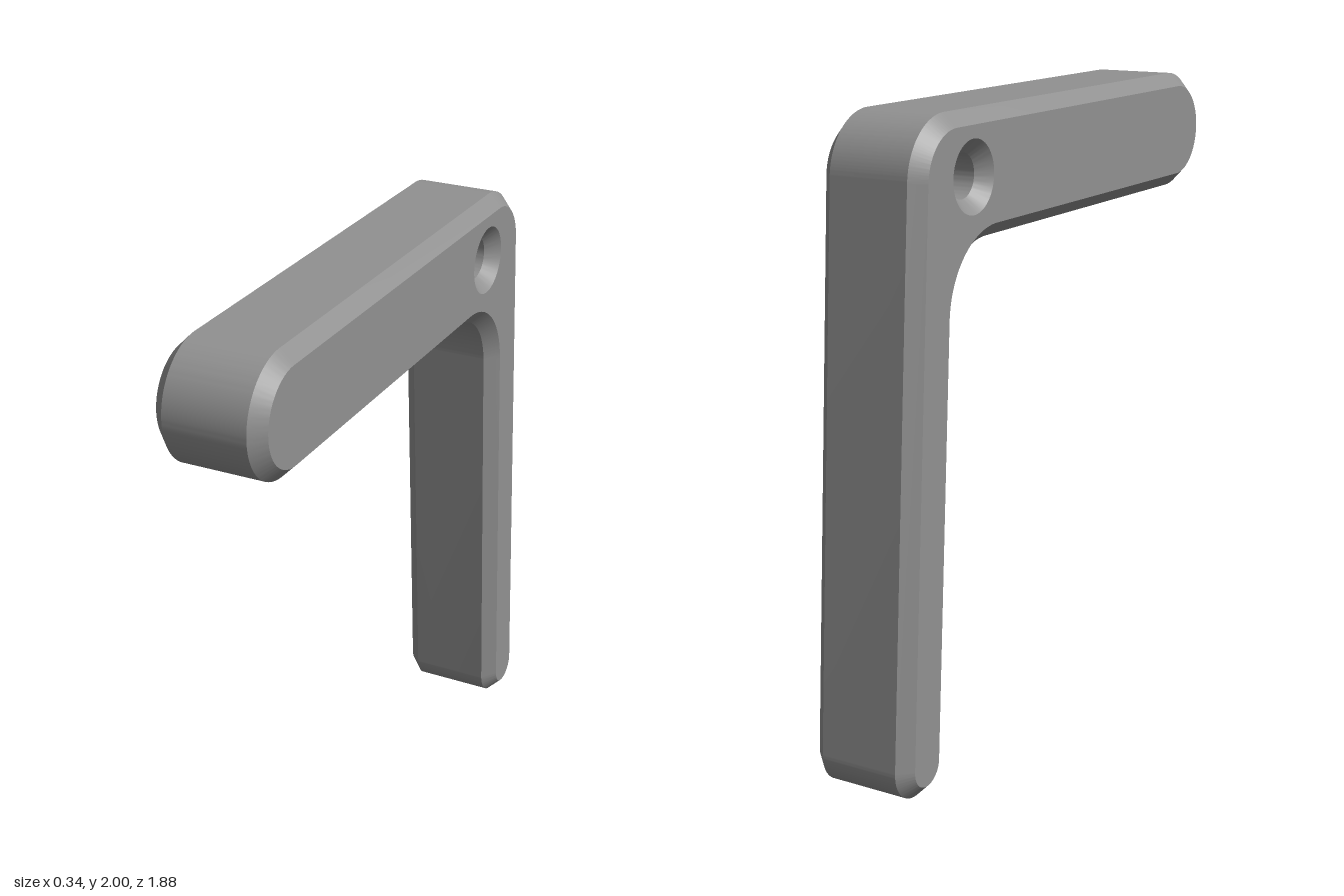
import * as THREE from 'three';
import { toCreasedNormals } from 'three/addons/utils/BufferGeometryUtils.js';

const BEVEL = 0.042;
const FACE_WIDTH = 0.26; // width between the two chamfers
const LEAN = 0.0625; // angle of the leg from vertical

export function createModel() {
  const group = new THREE.Group();
  group.name = 'angledLever';

  const grey = new THREE.MeshStandardMaterial({ color: 0x919191 });
  grey.name = 'grey';

  // Side outline: shape x runs toward the front, shape y is up
  const outline = new THREE.Shape();
  outline.absarc(0.752, 1.81, 0.19, -Math.PI / 2, Math.PI / 2, false); // rounded front end
  outline.absarc(-0.64, 1.81, 0.19, Math.PI / 2, Math.PI - LEAN, false); // outer corner
  outline.absarc(-0.834, 0.106, 0.106, Math.PI - LEAN, 2 * Math.PI - LEAN, false); // leg foot
  outline.absarc(-0.427, 1.4, 0.22, Math.PI - LEAN, Math.PI / 2, true); // inner fillet
  outline.closePath();

  // Through hole; the bevel countersinks it on both sides
  const hole = new THREE.Path();
  hole.absarc(-0.553, 1.81, 0.067, 0, Math.PI * 2, true);
  outline.holes.push(hole);

  const extruded = new THREE.ExtrudeGeometry(outline, {
    depth: FACE_WIDTH,
    curveSegments: 32,
    bevelEnabled: true,
    bevelThickness: BEVEL,
    bevelSize: BEVEL,
    bevelOffset: -BEVEL,
    bevelSegments: 1,
  });
  extruded.translate(0, 0, -FACE_WIDTH / 2);
  extruded.rotateY(-Math.PI / 2);

  // Smooth around the curves, sharp at the chamfers
  const lever = new THREE.Mesh(toCreasedNormals(extruded, 0.5), grey);
  lever.name = 'leverBody';
  group.add(lever);

  return group;
}
